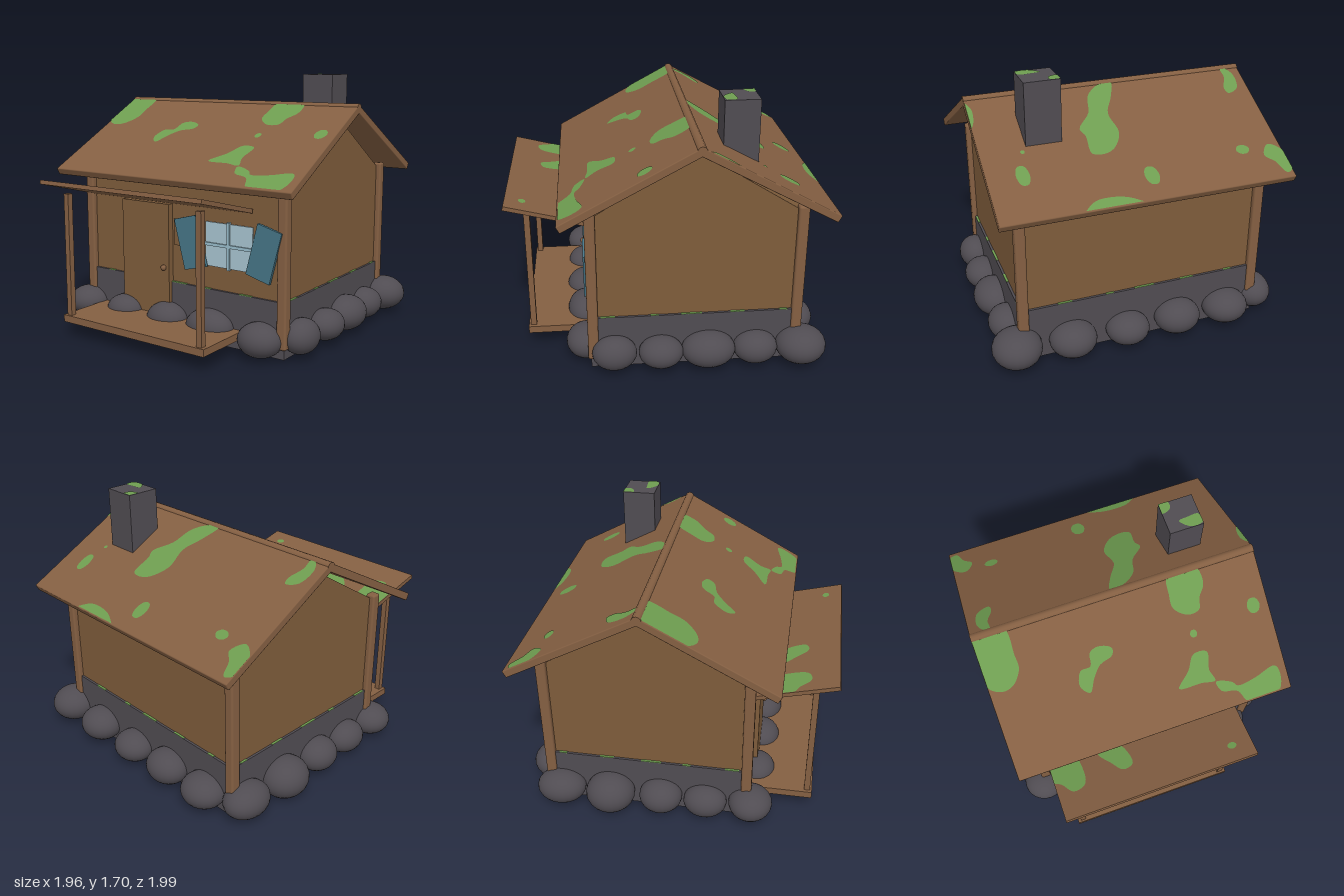
import * as THREE from 'three';
import { RoundedBoxGeometry } from 'three/addons/geometries/RoundedBoxGeometry.js';

const mat = (name, color, extra = {}) => {
  const m = new THREE.MeshStandardMaterial({ color, ...extra });
  m.name = name;
  return m;
};

export function createModel() {
  const wood = mat('roofWood', 0x845f42);
  const wallWood = mat('wallWood', 0x7e5c3b);
  const stone = mat('stone', 0x504c52);
  const moss = mat('moss', 0x6e9d50);
  const teal = mat('shutterTeal', 0x467586);
  const glass = mat('paleGlass', 0xa8c4d0);
  const frame = mat('windowBar', 0x98bccb);

  const model = new THREE.Group();
  model.name = 'cabin';
  const midZ = -0.16; // centre line of the house, under the ridge

  const add = (name, geo, material, x = 0, y = 0, z = 0, parent = model) => {
    const m = new THREE.Mesh(geo, material);
    m.name = name;
    m.position.set(x, y, z);
    parent.add(m);
    return m;
  };
  // box given by its limits on each axis
  const span = (name, material, [x0, x1], [y0, y1], [z0, z1]) =>
    add(name, new THREE.BoxGeometry(x1 - x0, y1 - y0, z1 - z0), material,
      (x0 + x1) / 2, (y0 + y1) / 2, (z0 + z1) / 2);

  // Foundation and walls
  span('foundation', stone, [-0.785, 0.785], [0.02, 0.372], [-0.815, 0.495]);
  span('walls', wallWood, [-0.77, 0.77], [0.36, 1.04], [-0.8, 0.48]);

  // Gable block, a triangular prism along x
  const tri = new THREE.Shape([[-0.64, 0], [0.64, 0], [0, 0.4]].map(p => new THREE.Vector2(...p)));
  const gable = new THREE.ExtrudeGeometry(tri, { depth: 1.54, bevelEnabled: false });
  gable.translate(0, 0, -0.77).rotateY(Math.PI / 2);
  add('gable', gable, wallWood, 0, 1.04, midZ);

  // Corner posts
  for (const x of [-0.77, 0.77]) for (const z of [-0.8, 0.48])
    add('cornerPost', new RoundedBoxGeometry(0.066, 1.0, 0.066, 2, 0.014), wood, x, 0.582, z);

  // Main roof: two slabs and a ridge pole
  const slope = 0.54, angle = Math.atan(slope), reach = 0.82, ridgeY = 1.49;
  for (const s of [-1, 1]) {
    const slab = add('roofSlab', new RoundedBoxGeometry(1.84, 0.05, reach / Math.cos(angle), 1, 0.007), wood,
      0, ridgeY - slope * reach / 2, midZ + s * reach / 2);
    slab.rotation.x = s * angle;
  }
  const ridge = add('ridgePole', new THREE.CylinderGeometry(0.03, 0.03, 1.84, 12), wood, 0, 1.494, midZ);
  ridge.rotation.z = Math.PI / 2;

  span('chimney', stone, [0.42, 0.64], [1.1, 1.7], [-0.54, -0.325]);

  // Porch: deck, two posts and an upward-tilted canopy
  span('porchDeck', wood, [-0.655, 0.485], [0.098, 0.145], [0.45, 0.897]);
  for (const x of [-0.615, 0.442])
    span('porchPost', wood, [x - 0.019, x + 0.019], [0.14, 0.95], [0.846, 0.884]);
  const tilt = 0.255, canopyY = z => 0.905 + (z - 0.5) * tilt;
  const canopy = add('porchRoof', new THREE.BoxGeometry(1.275, 0.027, 0.525), wood, -0.085, canopyY(0.745), 0.745);
  canopy.rotation.x = -Math.atan(tilt);

  // Door and knob
  span('door', wallWood, [-0.46, -0.068], [0.1, 0.885], [0.47, 0.522]);
  add('doorKnob', new THREE.SphereGeometry(0.019, 16, 12), wood, -0.11, 0.465, 0.528);

  // Window with cross bars and two crooked shutters
  span('windowPane', glass, [0.2, 0.553], [0.52, 0.802], [0.479, 0.488]);
  span('windowBarUpright', frame, [0.368, 0.388], [0.512, 0.812], [0.48, 0.5]);
  span('windowBarAcross', frame, [0.19, 0.565], [0.652, 0.672], [0.48, 0.498]);
  span('wallPlank', wallWood, [-0.045, 0.1], [0.62, 0.79], [0.47, 0.495]);
  for (const s of [-1, 1]) {
    const shutter = add('shutter', new THREE.BoxGeometry(0.173, 0.33, 0.02), teal, 0.378 + s * 0.273, 0.658, 0.515);
    shutter.rotation.z = -s * 0.255;
  }

  // Boulders around the foundation: x, y, z, rx, ry, rz
  const ball = new THREE.SphereGeometry(1, 24, 16);
  const boulders = [
    // front row
    [-0.79, 0.132, 0.51, 0.145, 0.103, 0.14], [-0.445, 0.132, 0.52, 0.137, 0.097, 0.12],
    [-0.085, 0.132, 0.52, 0.147, 0.105, 0.125], [0.255, 0.137, 0.52, 0.17, 0.113, 0.12],
    [0.63, 0.125, 0.52, 0.145, 0.108, 0.13],
    // +x side
    [0.82, 0.14, 0.35, 0.11, 0.11, 0.14], [0.83, 0.138, 0.06, 0.12, 0.1, 0.14],
    [0.82, 0.137, -0.24, 0.135, 0.115, 0.17], [0.81, 0.13, -0.54, 0.12, 0.105, 0.14],
    [0.82, 0.137, -0.83, 0.155, 0.118, 0.16],
    // back row
    [0.47, 0.13, -0.85, 0.15, 0.11, 0.14], [0.11, 0.12, -0.85, 0.14, 0.1, 0.13],
    [-0.23, 0.13, -0.85, 0.15, 0.11, 0.13], [-0.57, 0.13, -0.85, 0.15, 0.105, 0.14],
    // -x side
    [-0.82, 0.13, -0.73, 0.13, 0.11, 0.16], [-0.83, 0.13, -0.4, 0.15, 0.13, 0.16],
    [-0.81, 0.13, -0.07, 0.13, 0.11, 0.14], [-0.81, 0.125, 0.22, 0.115, 0.105, 0.14],
  ];
  for (const [x, y, z, rx, ry, rz] of boulders)
    add('boulder', ball, stone, x, y, z).scale.set(rx, ry, rz);

  // Moss patches: smooth outlines in (x, z), laid on a surface of height y(z)
  const mossPatch = (outline, height, [x0, x1], [z0, z1]) => {
    const curve = new THREE.CatmullRomCurve3(outline.map(([x, z]) => new THREE.Vector3(x, 0, z)), true);
    const pts = curve.getPoints(outline.length * 5).slice(0, -1).map(p => new THREE.Vector2(
      THREE.MathUtils.clamp(p.x, x0, x1), -THREE.MathUtils.clamp(p.z, z0, z1)));
    const geo = new THREE.ShapeGeometry(new THREE.Shape(pts)).rotateX(-Math.PI / 2);
    const pos = geo.attributes.position;
    for (let i = 0; i < pos.count; i++) pos.setY(i, height(pos.getZ(i)));
    geo.computeVertexNormals();
    add('mossPatch', geo, moss);
  };
  const oval = (x, z, rx, rz) => [0, 1, 2, 3, 4, 5].map(i =>
    [x + rx * Math.cos(i * Math.PI / 3), z + rz * Math.sin(i * Math.PI / 3)]);
  const roofY = z => ridgeY - slope * Math.abs(z - midZ) + 0.025 / Math.cos(angle) + 0.003;

  const frontMoss = [
    [[-0.93, -0.15], [-0.71, -0.15], [-0.7, 0], [-0.7, 0.08], [-0.77, 0.16], [-0.85, 0.17], [-0.93, 0.11]],
    [[-0.38, 0.28], [-0.35, 0.2], [-0.28, 0.19], [-0.26, 0.12], [-0.2, 0.1], [-0.12, 0.13], [-0.13, 0.17],
      [-0.22, 0.2], [-0.28, 0.26], [-0.33, 0.33]],
    [[0.34, -0.15], [0.53, -0.15], [0.55, -0.05], [0.5, 0.02], [0.48, 0.08], [0.4, 0.09], [0.32, 0.03], [0.32, -0.05]],
    [[0.21, 0.47], [0.3, 0.39], [0.36, 0.31], [0.45, 0.32], [0.43, 0.42], [0.45, 0.49], [0.36, 0.48]],
    [[0.45, 0.5], [0.55, 0.53], [0.58, 0.56], [0.7, 0.55], [0.85, 0.52], [0.87, 0.58], [0.83, 0.67], [0.62, 0.67],
      [0.57, 0.59], [0.47, 0.56]],
    oval(0.4, 0.2, 0.023, 0.022), oval(0.82, 0.155, 0.042, 0.045),
  ];
  const backMoss = [
    [[-0.93, -0.93], [-0.87, -0.96], [-0.83, -0.88], [-0.78, -0.83], [-0.84, -0.76], [-0.93, -0.83]],
    [[0.07, -1], [0.43, -1], [0.36, -0.94], [0.25, -0.93], [0.15, -0.95]],
    [[-0.02, -0.18], [0.02, -0.29], [0.08, -0.4], [0.06, -0.54], [0.15, -0.65], [0.27, -0.65], [0.27, -0.53],
      [0.29, -0.48], [0.2, -0.38], [0.16, -0.26], [0.07, -0.19]],
    [[-0.82, -0.18], [-0.86, -0.24], [-0.84, -0.34], [-0.76, -0.37], [-0.75, -0.33], [-0.79, -0.25], [-0.79, -0.18]],
    [[0.93, -0.2], [0.89, -0.25], [0.9, -0.35], [0.93, -0.39]],
    oval(-0.66, -0.77, 0.045, 0.03), oval(-0.03, -0.84, 0.045, 0.06),
    oval(0.71, -0.72, 0.04, 0.065), oval(0.67, -0.575, 0.013, 0.012),
  ];
  for (const p of frontMoss) mossPatch(p, roofY, [-0.918, 0.918], [midZ, 0.66]);
  for (const p of backMoss) mossPatch(p, roofY, [-0.918, 0.918], [-0.985, midZ]);

  const porchMoss = [
    [[-0.74, 0.72], [-0.72, 0.58], [-0.56, 0.56], [-0.52, 0.72], [-0.54, 0.81], [-0.62, 0.83], [-0.68, 0.76]],
    [[-0.4, 0.64], [-0.32, 0.58], [-0.24, 0.64], [-0.21, 0.78], [-0.28, 0.8], [-0.34, 0.73]],
    [[-0.1, 0.6], [0.1, 0.55], [0.25, 0.58], [0.1, 0.64]],
    oval(0.42, 0.89, 0.03, 0.022),
  ];
  for (const p of porchMoss) mossPatch(p, z => canopyY(z) + 0.017, [-0.72, 0.55], [0.5, 0.99]);

  const chimneyMoss = [
    [[0.42, -0.54], [0.48, -0.54], [0.48, -0.49], [0.42, -0.47]],
    [[0.5, -0.39], [0.56, -0.4], [0.63, -0.4], [0.64, -0.34], [0.56, -0.33]],
  ];
  for (const p of chimneyMoss) mossPatch(p, () => 1.703, [0.42, 0.64], [-0.54, -0.325]);

  // Thin moss dashes on the foundation ledge
  for (const s of [-1, 1]) for (let i = 0; i < 5; i++) {
    const a = -0.62 + i * 0.27, len = 0.05 + 0.04 * (i % 3);
    span('ledgeMoss', moss, [a, a + len], [0.37, 0.375], s > 0 ? [0.48, 0.495] : [-0.815, -0.8]);
    span('ledgeMoss', moss, s > 0 ? [0.77, 0.785] : [-0.785, -0.77], [0.37, 0.375], [a - 0.12, a - 0.12 + len]);
  }
  return model;
}
